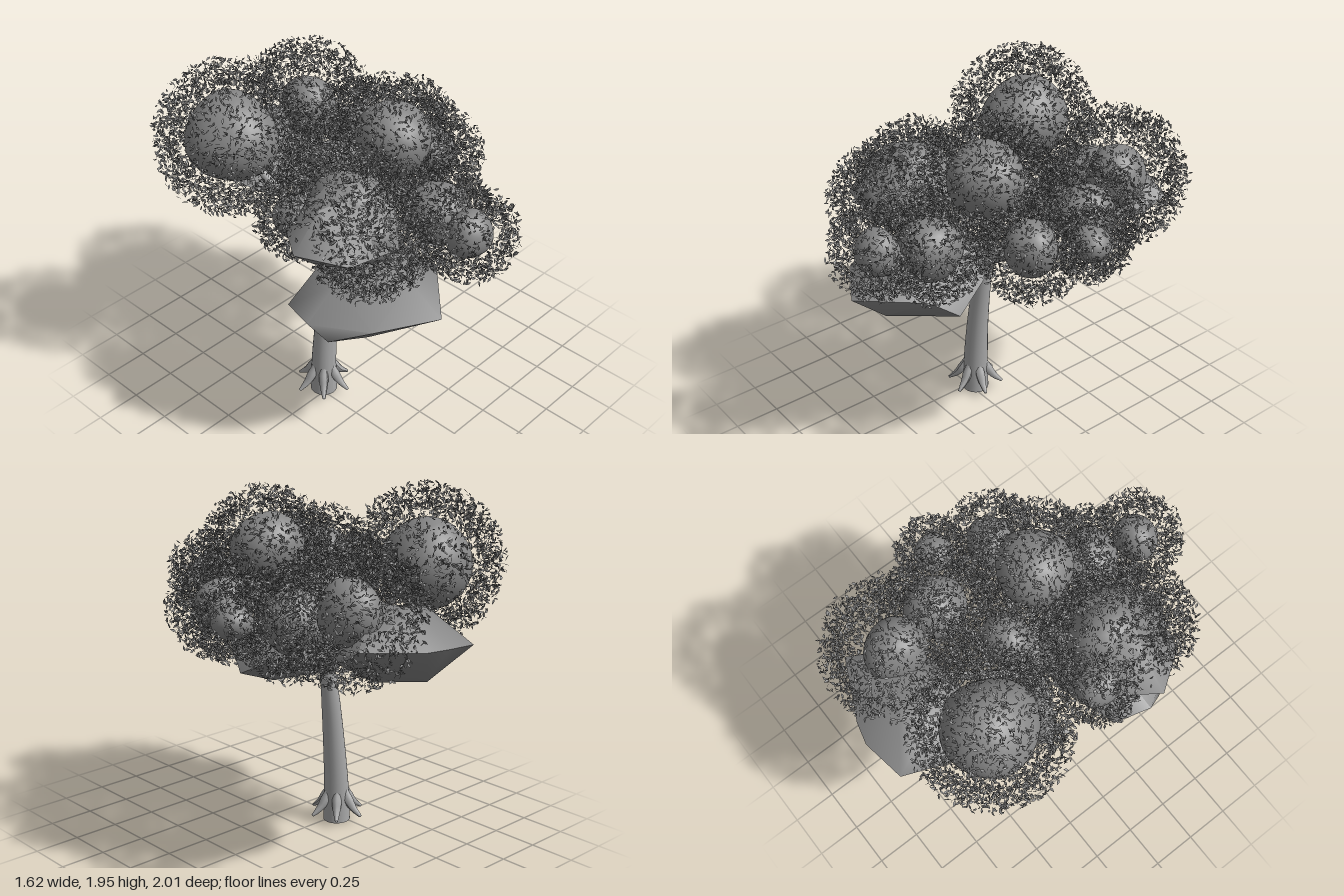
import * as THREE from 'three';
import { mergeVertices, toCreasedNormals } from 'three/addons/utils/BufferGeometryUtils.js';
import { ConvexGeometry } from 'three/addons/geometries/ConvexGeometry.js';

const bark = new THREE.MeshStandardMaterial({ color: 0xa8a8a8, side: THREE.DoubleSide });
const foliage = new THREE.MeshStandardMaterial({ color: 0x868686 });
const leaf = new THREE.MeshStandardMaterial({ color: 0x7c7c7c, side: THREE.DoubleSide });
const V = (x, y, z) => new THREE.Vector3(x, y, z);

function named(name, geo, material) {
  const mesh = new THREE.Mesh(geo, material);
  mesh.name = name;
  return mesh;
}

// Seeded random numbers in 0..1
function seeded(seed) {
  let s = seed * 7919 + 17;
  return () => (s = (s * 16807) % 2147483647) / 2147483647;
}

// Tube along a curve, tapering through a list of radii
function taperedTube(name, points, radii, rows = 12, sides = 12) {
  const curve = new THREE.CatmullRomCurve3(points.map(p => V(...p)));
  const geo = new THREE.TubeGeometry(curve, rows, 1, sides);
  const pos = geo.attributes.position, p = V();
  for (let i = 0; i < pos.count; i++) {
    const t = Math.floor(i / (sides + 1)) / rows;
    const k = t * (radii.length - 1), a = Math.min(Math.floor(k), radii.length - 2);
    const r = THREE.MathUtils.lerp(radii[a], radii[a + 1], k - a);
    const c = curve.getPointAt(t);
    p.fromBufferAttribute(pos, i).sub(c).multiplyScalar(r).add(c);
    pos.setXYZ(i, p.x, p.y, p.z);
  }
  geo.computeVertexNormals();
  return named(name, geo, bark);
}

// Angular mass wrapped around a few corner points
function angularMass(name, corners) {
  const geo = new ConvexGeometry(corners.map(p => V(...p)));
  return named(name, toCreasedNormals(geo, 1.05), foliage);
}

// Slightly uneven ball
function clumpCore(center, radius, seed) {
  let geo = new THREE.IcosahedronGeometry(radius, 4);
  geo.deleteAttribute('normal');
  geo.deleteAttribute('uv');
  geo = mergeVertices(geo, 1e-4);
  const pos = geo.attributes.position, p = V();
  for (let i = 0; i < pos.count; i++) {
    p.fromBufferAttribute(pos, i);
    const q = p.clone().multiplyScalar(3.2 / radius);
    p.multiplyScalar(1 + 0.035 * (Math.sin(q.x + seed) + Math.sin(q.y + 2 * seed) + Math.sin(q.z + 3 * seed)));
    pos.setXYZ(i, p.x, p.y, p.z);
  }
  geo.translate(...center);
  geo.computeVertexNormals();
  return named('clumpCore', geo, foliage);
}

// Shell of small folded diamond leaves around a centre
function leafShell(center, radius, seed) {
  const rnd = seeded(seed), count = Math.round(23000 * radius * radius);
  const verts = [], c = V(...center);
  const direction = () => {
    const y = rnd() * 2 - 1, a = rnd() * Math.PI * 2, r = Math.sqrt(1 - y * y);
    return V(r * Math.cos(a), y, r * Math.sin(a));
  };
  for (let i = 0; i < count; i++) {
    const p = direction().multiplyScalar(radius * (0.7 + 0.29 * rnd())).add(c);
    const along = direction().multiplyScalar(0.013 + 0.006 * rnd());
    const across = direction().cross(along).setLength(0.007);
    const fold = along.clone().cross(across).setLength(0.002);
    const tip = p.clone().add(along), base = p.clone().sub(along);
    const left = p.clone().add(across).add(fold), right = p.clone().sub(across).add(fold);
    for (const v of [base, tip, left, base, right, tip]) verts.push(v.x, v.y, v.z);
  }
  const geo = new THREE.BufferGeometry();
  geo.setAttribute('position', new THREE.Float32BufferAttribute(verts, 3));
  geo.computeVertexNormals();
  return named('leaves', geo, leaf);
}

export function createModel() {
  const tree = new THREE.Group();
  tree.name = 'tree';

  // Trunk, leaning gently to its left
  const fork = [-0.13, 0.93, -0.035];
  tree.add(taperedTube('trunk',
    [[-0.22, 0, -0.03], [-0.215, 0.2, -0.03], [-0.19, 0.5, -0.03], [-0.155, 0.77, -0.035], fork],
    [0.075, 0.068, 0.06, 0.052, 0.04], 20, 20));

  // Roots flaring out around the foot
  const roots = new THREE.Group();
  roots.name = 'roots';
  for (let i = 0; i < 6; i++) {
    const a = (i / 3 - 0.25) * Math.PI;
    const at = (r, y) => [-0.22 + r * Math.cos(a), y, -0.03 + r * Math.sin(a)];
    roots.add(taperedTube('root', [at(0.05, 0.18), at(0.07, 0.135), at(0.105, 0.085), at(0.155, 0.045)],
      [0.02, 0.028, 0.02, 0.008], 8, 8));
  }
  tree.add(roots);

  // Branches fanning from the fork into the crown
  const branches = new THREE.Group();
  branches.name = 'branches';
  const ends = [[0.06, 1.27, 0.45], [-0.33, 1.36, 0.22], [0.1, 1.45, 0.13], [0.42, 1.3, 0.12],
    [0.3, 1.28, -0.3], [0.08, 1.2, -0.5], [-0.35, 1.45, -0.45]];
  for (const end of ends) {
    const mid = fork.map((v, k) => v + (end[k] - v) * 0.5 + (k === 1 ? -0.015 : 0));
    branches.add(taperedTube('branch', [[fork[0], fork[1] - 0.03, fork[2]], mid, end],
      [0.034, 0.026, 0.018], 10, 8));
  }
  tree.add(branches);

  // Large angular masses low in the crown
  tree.add(angularMass('lowerFrontMass', [
    [-0.67, 0.93, 0.32], [-0.63, 0.85, 0.42], [-0.5, 0.93, 0.6], [-0.2, 0.94, 0.78], [-0.1, 0.84, 0.64],
    [-0.19, 0.765, 0.37], [-0.4, 0.82, 0.2], [0, 0.8, 0.25], [0.155, 0.85, 0.35], [0.09, 0.96, 0.5],
    [0, 1.08, 0.3], [-0.2, 1.1, 0.35], [-0.45, 1.04, 0.3], [-0.25, 0.86, 0.02], [-0.1, 1.0, 0.02],
    [0.08, 0.97, 0.12], [-0.61, 0.91, 0.12], [-0.45, 0.83, 0.52], [-0.2, 1.06, 0.58], [-0.3, 1.05, 0.1]]));
  tree.add(angularMass('backMass', [
    [0, 1.25, -1], [-0.23, 1.22, -0.96], [0.12, 1.25, -0.97], [0.43, 1.28, -0.82], [0.4, 1.2, -0.7],
    [-0.33, 1.2, -0.7], [0, 1.06, -0.87], [0.2, 1.06, -0.7], [-0.15, 1.06, -0.6], [0.1, 1.06, -0.41],
    [-0.25, 1.15, -0.45], [0.3, 1.15, -0.5], [0, 1.41, -0.78], [0.2, 1.4, -0.68], [-0.15, 1.38, -0.72],
    [0, 1.38, -0.5]]));
  tree.add(angularMass('sideMass', [
    [-0.73, 1.37, 0.3], [-0.57, 1.36, 0.07], [-0.62, 1.28, 0.35], [-0.58, 1.33, 0.52], [-0.4, 1.2, 0.3],
    [-0.45, 1.59, 0.25], [-0.35, 1.58, 0.38], [-0.12, 1.33, 0.15], [-0.1, 1.42, 0.38], [-0.3, 1.32, 0.58],
    [-0.35, 1.27, 0.04], [-0.3, 1.54, 0.1], [-0.56, 1.54, 0.3], [-0.15, 1.53, 0.25], [-0.25, 1.5, 0.5]]));

  // Crown clumps: centre, core radius, leaf shell radius
  const clumps = [
    [[-0.38, 1.53, -0.5], 0.24, 0.42],
    [[0.27, 1.4, -0.61], 0.165, 0.39],
    [[0.13, 1.56, 0.16], 0.2, 0.36],
    [[0.6, 1.32, -0.13], 0.1, 0.21],
    [[0.02, 1.33, 0.75], 0.12, 0.255],
    [[0.09, 1.28, 0.48], 0.165, 0.3],
    [[0.35, 1.31, -0.3], 0.165, 0.32],
    [[-0.33, 1.41, 0.26], 0.2, 0.35],
    [[0.46, 1.32, 0.14], 0.14, 0.285],
    [[-0.48, 1.36, 0.08], 0.12, 0.23],
    [[-0.02, 1.35, -0.13], 0.14, 0.3],
    [[-0.35, 1.34, 0.43], 0.13, 0.33],
  ];
  clumps.forEach(([center, core, shell], i) => {
    const clump = new THREE.Group();
    clump.name = 'crownClump';
    clump.add(clumpCore(center, core, i + 1), leafShell(center, shell, i + 1));
    tree.add(clump);
  });
  return tree;
}
